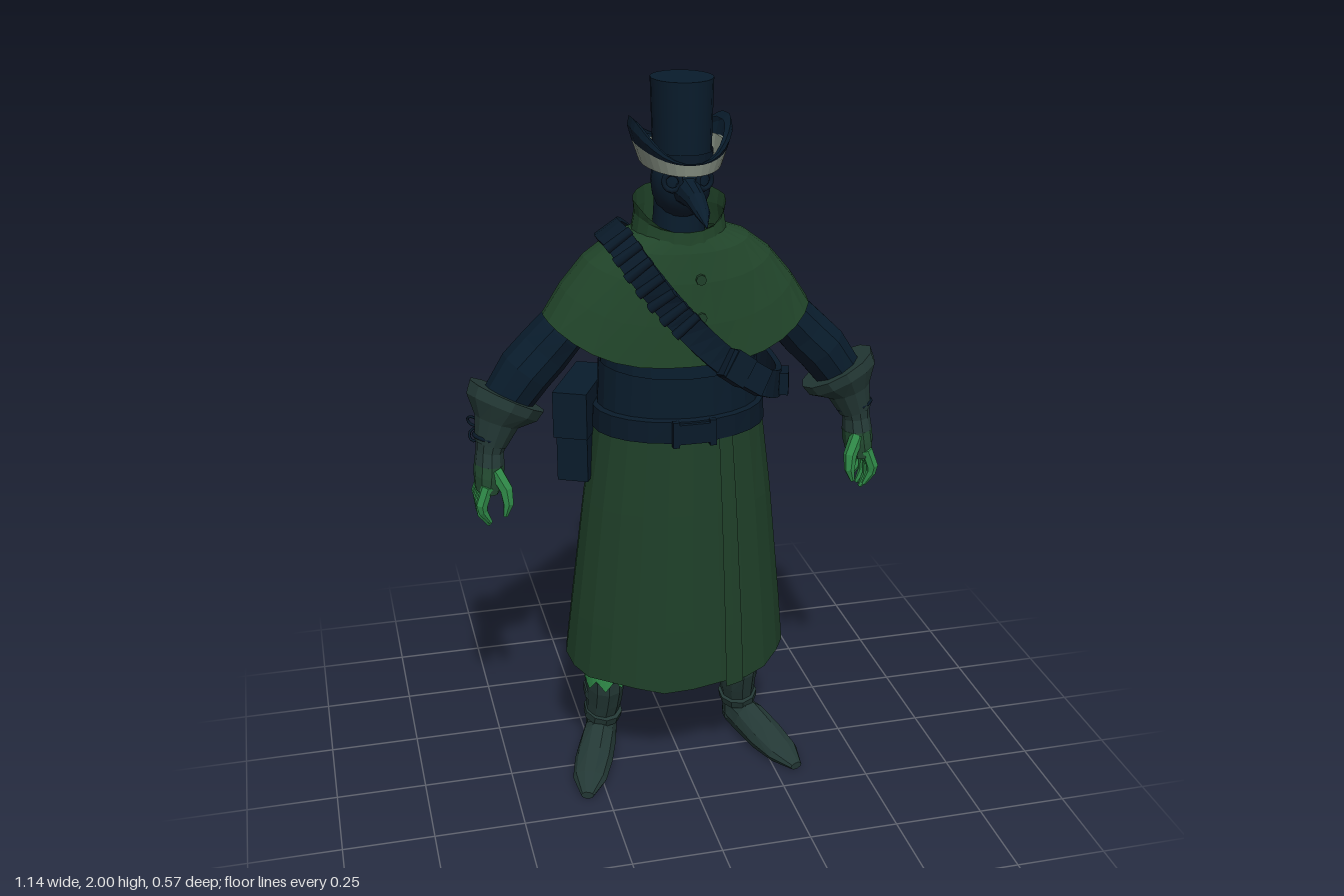
import * as THREE from 'three';

const V = (x, y, z) => new THREE.Vector3(x, y, z);
const paint = (name, color) => {
  const m = new THREE.MeshStandardMaterial({ color, side: THREE.DoubleSide });
  m.name = name;
  return m;
};

// Joins rings of points into a faceted skin
function skin(rings) {
  const pos = [], idx = [], n = rings[0].length;
  rings.forEach(r => r.forEach(p => pos.push(p.x, p.y, p.z)));
  for (let i = 0; i < rings.length - 1; i++) {
    for (let j = 0; j < n - 1; j++) {
      const a = i * n + j, d = a + n;
      idx.push(a, a + 1, d + 1, a, d + 1, d);
    }
  }
  const g = new THREE.BufferGeometry();
  g.setAttribute('position', new THREE.Float32BufferAttribute(pos, 3));
  g.setIndex(idx);
  const flat = g.toNonIndexed();
  flat.computeVertexNormals();
  return flat;
}

// Garment shell; rows run bottom to top: [yFront, ySide, yBack, halfWidth, zFront, zBack]
// square: fullness of the corners at front and back, rise: how sharply the sides lift
function shell(rows, { n = 24, from = 0, to = Math.PI * 2, ragged = 0, square = [1, 1], rise = 3 } = {}) {
  return skin(rows.map(([yf, ys, yb, rx, zf, zb], i) =>
    Array.from({ length: n + 1 }, (_, j) => {
      const a = from + (to - from) * j / n, s = Math.sin(a), c = Math.cos(a);
      const mix = 1 - Math.abs(s) ** rise;
      const depth = Math.sign(c) * Math.abs(c) ** square[c > 0 ? 0 : 1];
      const wob = i === 0 ? ragged * Math.sin(7 * a) : 0;
      return V(rx * s, ys + ((c > 0 ? yf : yb) - ys) * mix + wob, (zf + zb) / 2 + (zf - zb) / 2 * depth);
    })));
}

// Tapered limb along points [x, y, z, radiusU, radiusW], mirrored by side
function limb(pts, { side = 1, up = V(0, 0, 1), n = 10, floor = -1 } = {}) {
  const c = pts.map(p => V(p[0] * side, p[1], p[2]));
  const rings = c.map((p, i) => {
    const t = c[Math.min(i + 1, c.length - 1)].clone().sub(c[Math.max(i - 1, 0)]).normalize();
    const u = up.clone().addScaledVector(t, -up.dot(t)).normalize(), w = t.clone().cross(u);
    const [, , , ru, rw = ru] = pts[i];
    return Array.from({ length: n + 1 }, (_, j) => {
      const a = j / n * Math.PI * 2;
      const q = p.clone().addScaledVector(u, ru * Math.cos(a)).addScaledVector(w, rw * Math.sin(a));
      q.y = Math.max(q.y, floor);
      return q;
    });
  });
  const cap = p => Array.from({ length: n + 1 }, () => p.clone());
  return skin([cap(c[0]), ...rings, cap(c[c.length - 1])]);
}

export function createModel() {
  const root = new THREE.Group();
  root.name = 'cloakedDoctor';
  const green = paint('coat green', 0x1f4029), cloak = paint('cape green', 0x21452a);
  const navy = paint('navy cloth', 0x091c2c), leather = paint('dark leather', 0x091a29);
  const grey = paint('grey green leather', 0x243936), glow = paint('bright green', 0x2f8a48);
  const palm = paint('hand green', 0x234a31), pale = paint('pale brim', 0x8f9a8c);

  const add = (name, geo, mat, pos, rot) => {
    const m = new THREE.Mesh(geo, mat);
    m.name = name;
    if (pos) m.position.set(...pos);
    if (rot) m.rotation.set(...rot);
    root.add(m);
    return m;
  };
  const box = (name, size, mat, pos) => add(name, new THREE.BoxGeometry(...size), mat, pos);

  // Coat skirt and narrow overlapping front fold
  const skirt = (o, dy = 0) => [
    [.315 + dy, .345, .36, .32 + o, .178 + o, -.285 - o], [.5, .5, .5, .304 + o, .176 + o, -.26 - o],
    [.85, .85, .85, .265 + o, .17 + o, -.21 - o], [1.08, 1.08, 1.08, .233 + o, .165 + o, -.175 - o]];
  add('coatSkirt', shell(skirt(0), { ragged: .008 }), green);
  add('coatFrontFold', shell(skirt(.006, -.008), { n: 4, from: .3, to: .48 }), green);

  // Torso, belt and buckle
  add('torso', shell([[1.05, 1.05, 1.05, .222, .16, -.17], [1.2, 1.2, 1.2, .213, .155, -.188],
    [1.4, 1.4, 1.4, .2, .135, -.18], [1.55, 1.55, 1.55, .1, .08, -.1]]), navy);
  add('waistWrap', shell([[1.13, 1.13, 1.13, .222, .162, -.185], [1.24, 1.25, 1.24, .216, .161, -.193]]), navy);
  add('belt', shell([[1.07, 1.07, 1.07, .23, .165, -.178], [1.065, 1.065, 1.065, .238, .174, -.185],
    [1.125, 1.125, 1.125, .235, .174, -.19], [1.13, 1.13, 1.13, .22, .16, -.18]]), leather);
  box('buckle', [.09, .055, .012], leather, [0, 1.093, .178]);
  for (const x of [-.05, .05]) box('buckleLoop', [.018, .072, .018], leather, [x, 1.093, .176]);

  // Shoulder cape, standing collar and buttons
  add('cape', shell([[1.27, 1.385, 1.28, .362, .155, -.2], [1.38, 1.46, 1.39, .313, .15, -.195],
    [1.49, 1.535, 1.5, .25, .14, -.176], [1.565, 1.583, 1.575, .187, .125, -.145],
    [1.6, 1.608, 1.6, .12, .112, -.115]], { n: 32, square: [.82, .82] }), cloak);
  add('collar', shell([[1.585, 1.59, 1.585, .128, .118, -.12], [1.62, 1.65, 1.65, .118, .116, -.115],
    [1.62, 1.685, 1.705, .122, .12, -.108]], { n: 20 }), cloak);
  for (const y of [1.5, 1.4, 1.31]) {
    add('capeButton', new THREE.CylinderGeometry(.014, .014, .012, 8), green,
      [.025, y, .155 - (y - 1.31) * .08], [Math.PI / 2, 0, 0]);
  }

  // Head, neck and long curved beak
  add('neck', new THREE.CylinderGeometry(.065, .075, .16, 12), navy, [0, 1.62, 0]);
  add('head', new THREE.SphereGeometry(1, 14, 10), navy, [0, 1.73, .02]).scale.set(.078, .095, .095);
  add('beak', limb([[0, 1.725, .06, .05, .045], [0, 1.722, .12, .032, .034], [0, 1.718, .19, .026, .025],
    [0, 1.703, .245, .02, .016], [0, 1.678, .289, .002]], { up: V(1, 0, 0) }), navy);
  for (const s of [-1, 1]) {
    add('goggle', new THREE.TorusGeometry(.022, .007, 6, 12), leather, [s * .042, 1.75, .105], [0, s * .4, 0]);
  }

  // Top hat; the brim is curled up along the sides, pale within
  add('hatCrown', new THREE.CylinderGeometry(.08, .074, .225, 20), navy, [0, 1.8875, .035]).scale.z = 1.17;
  const brimStyle = { n: 32, square: [1.1, .55], rise: 2.4 };
  const brimMid = [1.802, 1.835, 1.815, .12, .163, -.104];
  add('hatBrim', shell([[1.775, 1.775, 1.775, .07, .125, -.055], [1.772, 1.782, 1.772, .102, .155, -.094], brimMid], brimStyle), pale);
  add('hatBrimCurl', shell([brimMid, [1.804, 1.875, 1.823, .131, .165, -.109], [1.806, 1.9, 1.828, .126, .164, -.108],
    [1.806, 1.885, 1.826, .109, .161, -.105]], brimStyle), navy);
  add('hatBrimLining', shell([[1.785, 1.79, 1.785, .1, .155, -.09], [1.804, 1.84, 1.82, .106, .159, -.102]], brimStyle), pale);
  add('hatBand', shell([[1.775, 1.775, 1.775, .079, .125, -.055], [1.82, 1.82, 1.82, .08, .127, -.057]]), leather);

  for (const side of [-1, 1]) {
    const tag = side > 0 ? 'left' : 'right';
    // Sleeve, gauntlet and hand
    add(tag + 'Sleeve', limb([[.18, 1.45, -.04, .06], [.25, 1.4, -.04, .075, .055], [.315, 1.33, -.04, .088, .068],
      [.36, 1.28, -.04, .085, .073], [.41, 1.23, -.035, .086, .074], [.475, 1.14, -.03, .07, .066]], { side }), navy);
    add(tag + 'Cuff', limb([[.462, 1.165, -.035, .108, .11], [.478, 1.135, -.03, .104, .104],
      [.495, 1.1, -.02, .068, .062], [.515, 1.04, -.015, .05, .045]], { side, n: 12 }), grey);
    add(tag + 'Glove', limb([[.508, 1.07, -.015, .05, .046], [.518, 1.02, -.012, .043, .038],
      [.521, .985, -.011, .053, .041]], { side }), grey);
    add(tag + 'Palm', limb([[.521, .985, -.011, .053, .041], [.524, .955, -.01, .058, .041],
      [.53, .912, -.01, .06, .034]], { side }), palm);
    for (const z of [.038, .008, -.022, -.05]) {
      const drop = z < -.04 || z > .03 ? .02 : 0;
      add(tag + 'Finger', limb([[.535, .935, z, .017], [.553, .885, z * 1.08, .017], [.55, .845 + drop, z * 1.05, .014],
        [.53, .81 + drop, z, .006]], { side, n: 6 }), glow);
    }
    add(tag + 'Thumb', limb([[.51, .975, .025, .02], [.485, .925, .042, .019], [.482, .885, .05, .015],
      [.492, .85, .052, .006]], { side, n: 6 }), glow);
    // Tied cord at the wrist
    add(tag + 'Cord', new THREE.TorusGeometry(.047, .006, 6, 14), leather, [side * .512, 1.055, -.016], [1.45, side * .25, 0]);
    for (const k of [-1, 1]) {
      add(tag + 'CordLoop', new THREE.TorusGeometry(.017, .004, 5, 10), leather,
        [side * .55, 1.06 + k * .015, -.08 - k * .012], [k * .5, .6 * side, 0]);
    }
    // Trouser leg, torn rim, boot and foot
    add(tag + 'Trouser', limb([[.2, .25, -.08, .068, .052], [.2, .36, -.075, .08, .058], [.16, .7, -.04, .085]], { side }), navy);
    add(tag + 'TornRim', shell([[.242, .235, .225, .06, .075, -.075], [.272, .272, .262, .059, .073, -.073]],
      { n: 28, ragged: .016 }), glow, [side * .202, 0, -.082]);
    add(tag + 'Boot', limb([[.212, .03, -.11, .045, .046], [.212, .09, -.108, .048, .046], [.205, .16, -.095, .06, .053],
      [.203, .215, -.085, .07, .056], [.203, .25, -.083, .071, .056]], { side }), grey);
    for (const y of [.1, .17]) {
      add(tag + 'BootStrap', limb([[.21, y, -.103, .06, .055], [.207, y + .025, -.098, .064, .057]], { side }), grey);
    }
    add(tag + 'Foot', limb([[.2, .035, -.15, .03, .03], [.21, .045, -.12, .046, .05], [.232, .045, -.05, .052, .055],
      [.262, .03, .03, .055, .045], [.29, .02, .11, .048, .03], [.31, .012, .178, .018, .012]],
      { side, up: V(1, 0, 0), floor: 0 }), grey);
  }

  // Cross-body strap
  const path = new THREE.CatmullRomCurve3([[-.185, 1.604, -.02], [-.17, 1.593, .068], [-.13, 1.53, .14], [-.02, 1.39, .161],
    [.1, 1.27, .168], [.21, 1.2, .14], [.275, 1.17, .02], [.245, 1.21, -.155], [.1, 1.34, -.2],
    [-.05, 1.48, -.19], [-.15, 1.575, -.12]].map(p => V(...p)), true);
  const frame = t => {
    const p = path.getPointAt(t), d = path.getTangentAt(t);
    const out = V(p.x, Math.max(0, p.y - 1.47) * 2, p.z + .02);
    out.addScaledVector(d, -out.dot(d)).normalize();
    return { p, d, out, w: d.clone().cross(out) };
  };
  add('strap', skin(Array.from({ length: 49 }, (_, i) => {
    const { p, out, w } = frame((i % 48) / 48);
    return [[1, -1], [1, 1], [-1, 1], [-1, -1], [1, -1]].map(([a, b]) =>
      p.clone().addScaledVector(w, a * .037).addScaledVector(out, b * .008));
  })), leather);

  // Vials and small pouches carried on the strap
  const onStrap = (name, geo, t, lift) => {
    const { p, d, out, w } = frame(t);
    const m = add(name, geo, leather);
    m.position.copy(p).addScaledVector(out, lift);
    m.quaternion.setFromRotationMatrix(new THREE.Matrix4().makeBasis(d, w.clone().negate(), out));
  };
  for (let i = 0; i < 7; i++) onStrap('vial', new THREE.CylinderGeometry(.012, .014, .08, 7), .055 + i * .028, .012);
  onStrap('strapPouch', new THREE.BoxGeometry(.13, .075, .04), .345, .016);
  onStrap('strapPouchFlap', new THREE.BoxGeometry(.06, .082, .046), .33, .017);
  onStrap('strapEndPouch', new THREE.BoxGeometry(.09, .06, .035), .47, .01);

  // Satchel on the right hip
  const bag = new THREE.Group();
  bag.name = 'satchel';
  const bagBox = (name, size, pos) => {
    const m = new THREE.Mesh(new THREE.BoxGeometry(...size), navy);
    m.name = name;
    m.position.set(...pos);
    bag.add(m);
  };
  bagBox('satchelBody', [.24, .23, .085], [0, -.015, 0]);
  bagBox('satchelFlap', [.25, .13, .094], [0, .06, .003]);
  for (const x of [-.065, .065]) bagBox('satchelStrap', [.022, .1, .012], [x, -.02, .046]);
  bag.position.set(-.248, 1.05, -.088);
  bag.rotation.y = -2.02;
  root.add(bag);

  return root;
}
